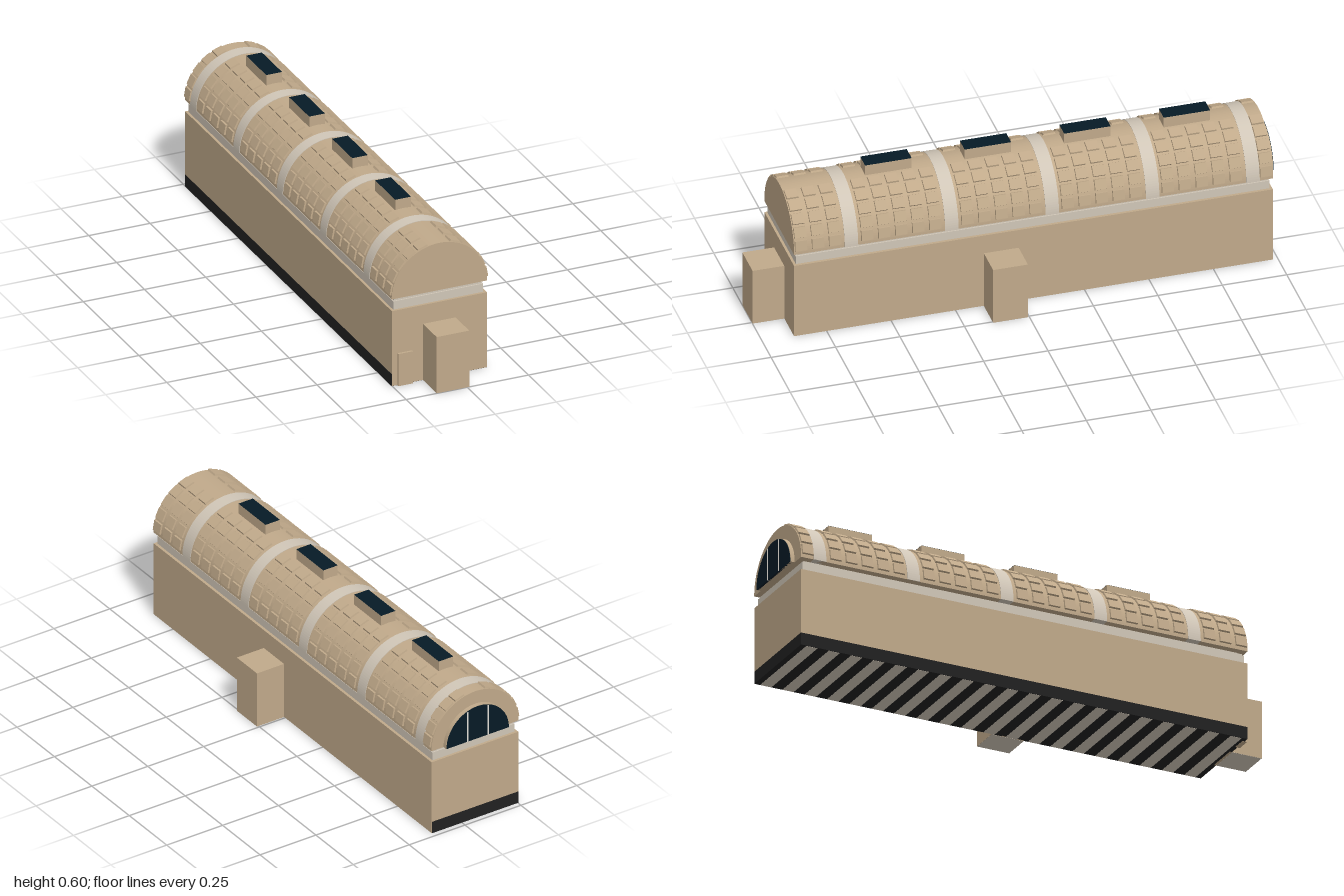
import * as THREE from 'three';

const CX = -0.058;      // centre line of the hall
const SPRING = 0.36;    // height where the vault begins
const R = 0.195;        // vault radius
const FRONT = 0.877, BACK = -0.98;

const mat = (name, color) => {
  const m = new THREE.MeshStandardMaterial({ color });
  m.name = name;
  return m;
};

export function createModel() {
  const stone = mat('sandstone', 0xc0a98a);
  const pale = mat('pale stone', 0xd0c6b7);
  const glass = mat('dark glass', 0x061a26);
  const black = mat('black base', 0x212121);
  const white = mat('glazing bar', 0xe2ded6);
  const model = new THREE.Group();
  model.name = 'vaultedHall';

  const add = (name, geometry, material, parent = model) => {
    const mesh = new THREE.Mesh(geometry, material);
    mesh.name = name;
    parent.add(mesh);
    return mesh;
  };
  // box given by its limits on each axis
  const block = (name, x0, x1, y0, y1, z0, z1, material, parent) => {
    const mesh = add(name, new THREE.BoxGeometry(x1 - x0, y1 - y0, z1 - z0), material, parent);
    mesh.position.set((x0 + x1) / 2, (y0 + y1) / 2, (z0 + z1) / 2);
    return mesh;
  };
  // half disc standing on the spring line, extruded from z0 to z1
  const halfDisc = (name, r, z0, z1, material, parent) => {
    const s = new THREE.Shape();
    s.moveTo(r, 0);
    s.absarc(0, 0, r, 0, Math.PI, false);
    s.closePath();
    const g = new THREE.ExtrudeGeometry(s, { depth: z1 - z0, bevelEnabled: false, curveSegments: 32 });
    const mesh = add(name, g, material, parent);
    mesh.position.set(CX, SPRING, z0);
    return mesh;
  };

  // walls, base and entrances
  block('walls', -0.252, 0.136, 0.0012, 0.311, BACK, FRONT, stone);
  block('base', -0.2525, 0.135, 0.0006, 0.05, BACK - 0.0005, FRONT - 0.001, black);
  block('frontPorch', -0.125, 0.008, 0.0006, 0.233, FRONT - 0.01, 1, stone);
  block('sidePorch', 0.13, 0.257, 0.0006, 0.233, 0.006, 0.141, stone);
  block('frontDoor', -0.23, -0.17, 0, 0.133, FRONT - 0.01, FRONT + 0.009, stone);

  // pale floor plates below the porches, and strips across the underside of the base
  block('frontPorchFloor', -0.124, 0.007, 0, 0.0006, FRONT, 0.999, pale);
  block('sidePorchFloor', 0.136, 0.256, 0, 0.0006, 0.007, 0.14, pale);
  const strips = new THREE.Group();
  strips.name = 'floorStrips';
  model.add(strips);
  const pitch = (FRONT - BACK) / 20;
  for (let i = 0; i < 20; i++) {
    const z = BACK + (i + 0.5) * pitch;
    block('floorStrip', -0.25, 0.134, 0, 0.0006, z - pitch / 4, z + pitch / 4, pale, strips);
  }

  // stepped cornice below the vault
  block('corniceLower', -0.242, 0.125, 0.311, 0.345, BACK + 0.01, FRONT - 0.01, pale);
  block('corniceMiddle', -0.237, 0.12, 0.345, 0.352, BACK + 0.015, FRONT - 0.015, pale);
  block('corniceNeck', -0.224, 0.107, 0.352, SPRING, BACK + 0.028, FRONT - 0.028, pale);

  // vault and its pale ribs
  halfDisc('vault', R, BACK, FRONT, stone);
  const ribs = new THREE.Group();
  ribs.name = 'ribs';
  model.add(ribs);
  for (let i = 0; i < 5; i++) {
    const z = 0.655 - i * 0.3893;
    halfDisc('rib', R + 0.002, z - 0.026, z + 0.026, pale, ribs);
  }

  // tapered roof panel: a box whose outer face is smaller than its foot
  const panel = new THREE.BoxGeometry(0.044, 0.012, 0.05);
  const p = panel.attributes.position;
  for (let i = 0; i < p.count; i++) {
    if (p.getY(i) > 0) p.setXYZ(i, p.getX(i) * 0.9, p.getY(i), p.getZ(i) * 0.9);
  }
  panel.computeVertexNormals();

  // panel rows: three in front, five in each bay, one at the back
  const rows = [0.85, 0.784, 0.718, -0.953];
  for (let i = 0; i < 4; i++) {
    for (let k = -2; k <= 2; k++) rows.push(0.461 - i * 0.3885 + k * 0.066);
  }
  const panels = new THREE.Group();
  panels.name = 'roofPanels';
  model.add(panels);
  for (const z of rows) {
    for (const side of [-1, 1]) {
      for (let k = 0; k < 5; k++) {
        const a = THREE.MathUtils.degToRad(10.5 + 15 * k);
        const mesh = add('roofPanel', panel, stone, panels);
        mesh.position.set(CX + side * R * Math.cos(a), SPRING + R * Math.sin(a), z);
        mesh.rotation.z = side * (a - Math.PI / 2);
      }
    }
  }

  // skylights along the ridge
  for (let i = 0; i < 4; i++) {
    const z = 0.463 - i * 0.386;
    const skylight = new THREE.Group();
    skylight.name = 'skylight';
    model.add(skylight);
    block('skylightCurb', -0.091, -0.027, 0.53, 0.5955, z - 0.09, z + 0.09, stone, skylight);
    block('skylightGlass', -0.091, -0.027, 0.5955, 0.596, z - 0.09, z + 0.09, glass, skylight);
  }

  // arched window at the back with two glazing bars
  halfDisc('windowSurround', 0.141, -0.997, BACK + 0.01, stone);
  halfDisc('windowGlass', 0.139, -0.999, -0.99, glass);
  for (const side of [-1, 1]) {
    const x = CX + side * 0.046;
    block('glazingBar', x - 0.0025, x + 0.0025, SPRING, SPRING + 0.129, -1, -0.994, white);
  }
  return model;
}
